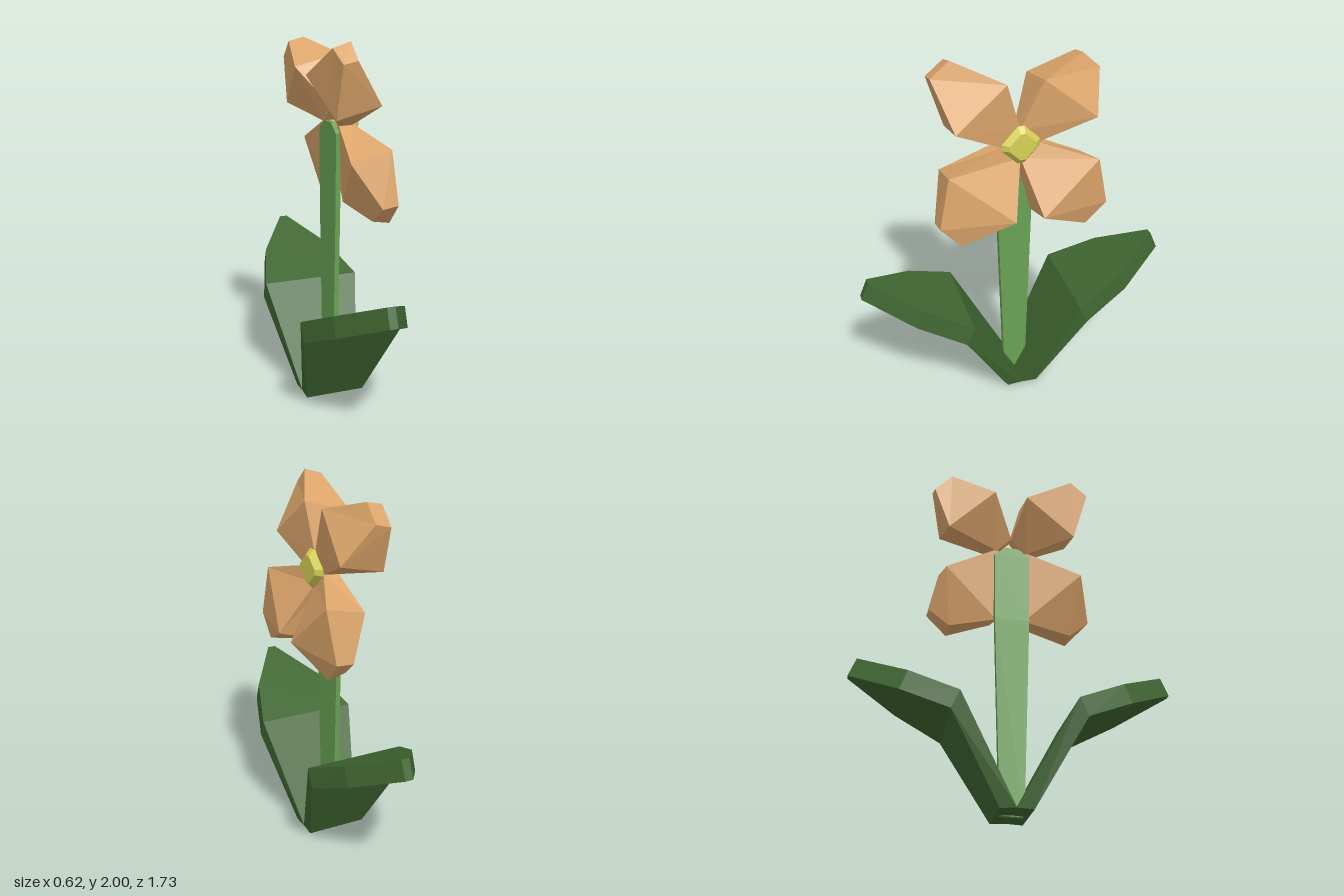
import * as THREE from 'three';

const mat = (name, color) => {
  const m = new THREE.MeshStandardMaterial({ color });
  m.name = name;
  return m;
};

// Flat-faced skin over matching rings of points, capped at both ends.
function loft(rings) {
  const tris = [];
  const n = rings[0].length;
  for (let r = 0; r < rings.length - 1; r++) {
    for (let i = 0; i < n; i++) {
      const j = (i + 1) % n;
      const [a, b, c, d] = [rings[r][i], rings[r][j], rings[r + 1][j], rings[r + 1][i]];
      tris.push([a, b, c], [a, c, d]);
    }
  }
  const first = rings[0], last = rings[rings.length - 1];
  for (let i = 1; i < n - 1; i++) {
    tris.push([first[0], first[i + 1], first[i]], [last[0], last[i], last[i + 1]]);
  }
  // turn the faces outward whichever way the rings run
  const v = p => new THREE.Vector3(...p);
  const centre = v(first[0]);
  const volume = tris.reduce((s, [a, b, c]) =>
    s + v(a).sub(centre).dot(v(b).sub(centre).cross(v(c).sub(centre))), 0);
  if (volume < 0) tris.forEach(t => t.reverse());
  const geo = new THREE.BufferGeometry();
  geo.setAttribute('position', new THREE.Float32BufferAttribute(tris.flat(2), 3));
  geo.computeVertexNormals();
  return geo;
}

export function createModel() {
  const group = new THREE.Group();
  const petalMat = mat('petalOrange', 0xdca56b);
  const centreMat = mat('centreYellow', 0xd6d257);
  const stemMat = mat('stemGreen', 0x69a254);
  const leafMat = mat('leafGreen', 0x3f6631);

  const add = (name, geo, material) => {
    const mesh = new THREE.Mesh(geo, material);
    mesh.name = name;
    group.add(mesh);
    return mesh;
  };

  // Stem: thin strap, widening upward to a blunt point
  add('stem', loft([[0, 0.065], [1.1, 0.098], [1.5, 0.1], [1.55, 0.04]].map(([y, w]) =>
    [[-0.012, y, -w], [0.016, y, -w], [0.016, y, w], [-0.012, y, w]])), stemMat);

  // Leaves: [half width, upper y, upper z, lower y, lower z] from base to tip
  const leafGeo = loft([
    [0.167, 0.005, 0, 0, 0.087],
    [0.278, 0.56, 0.305, 0.46, 0.35],
    [0.197, 0.68, 0.565, 0.575, 0.605],
    [0.022, 0.80, 0.825, 0.70, 0.867],
  ].map(([w, uy, uz, ly, lz]) => [[-w, uy, uz], [w, uy, uz], [w, ly, lz], [-w, ly, lz]]));
  add('frontLeaf', leafGeo, leafMat).rotation.y = -0.092;
  add('backLeaf', leafGeo, leafMat).rotation.y = Math.PI - 0.092;

  // Petals: widest ring and blunt tip; corners run
  // face inner, face outer, back outer, back inner
  const petals = {
    upperFrontPetal: {
      side: 1, up: 1,
      ring: [[0.105, 1.89, 0.075], [0.12, 1.675, 0.355], [-0.125, 1.615, 0.335], [-0.16, 1.81, 0.05]],
      tip: [[-0.04, 2.0, 0.32], [-0.05, 1.915, 0.42], [-0.13, 1.90, 0.42], [-0.14, 1.97, 0.32]],
    },
    upperBackPetal: {
      side: -1, up: 1,
      ring: [[0.12, 1.89, -0.12], [0.18, 1.665, -0.39], [-0.08, 1.60, -0.38], [-0.14, 1.83, -0.13]],
      tip: [[0.02, 1.96, -0.37], [0.03, 1.87, -0.465], [-0.06, 1.845, -0.465], [-0.07, 1.94, -0.37]],
    },
    lowerFrontPetal: {
      side: 1, up: -1,
      ring: [[0.26, 1.19, 0.09], [0.15, 1.46, 0.41], [-0.07, 1.40, 0.39], [0.04, 1.12, 0.08]],
      tip: [[0.17, 1.06, 0.36], [0.16, 1.18, 0.47], [0.07, 1.17, 0.47], [0.07, 1.08, 0.36]],
    },
    lowerBackPetal: {
      side: -1, up: -1,
      ring: [[0.275, 1.19, -0.06], [0.25, 1.46, -0.375], [0.02, 1.40, -0.37], [0.05, 1.12, -0.075]],
      tip: [[0.21, 1.06, -0.33], [0.23, 1.18, -0.44], [0.13, 1.17, -0.44], [0.11, 1.08, -0.33]],
    },
  };
  for (const [name, { side, up, ring, tip }] of Object.entries(petals)) {
    const yIn = 1.545 + up * 0.08, yOut = 1.54 - up * 0.005, z = side * 0.085;
    const neck = [[0.09, yIn, 0], [0.09, yOut, z], [0.01, yOut, z], [0.01, yIn, 0]];
    add(name, loft([neck, ring, tip]), petalMat);
  }

  // Flower centre: bevelled diamond facing +x, with clipped corners
  const diamond = (x, r, clip) => [0, 1, 2, 3].flatMap(i => {
    const a = i * Math.PI / 2, c = Math.cos(a), s = Math.sin(a);
    return [-clip, clip].map(t => [x, 1.55 + c * r - s * t, 0.003 + s * r + c * t]);
  });
  add('flowerCentre', loft([
    diamond(0.07, 0.085, 0.015), diamond(0.105, 0.105, 0.018), diamond(0.135, 0.073, 0.014),
  ]), centreMat);

  return group;
}
